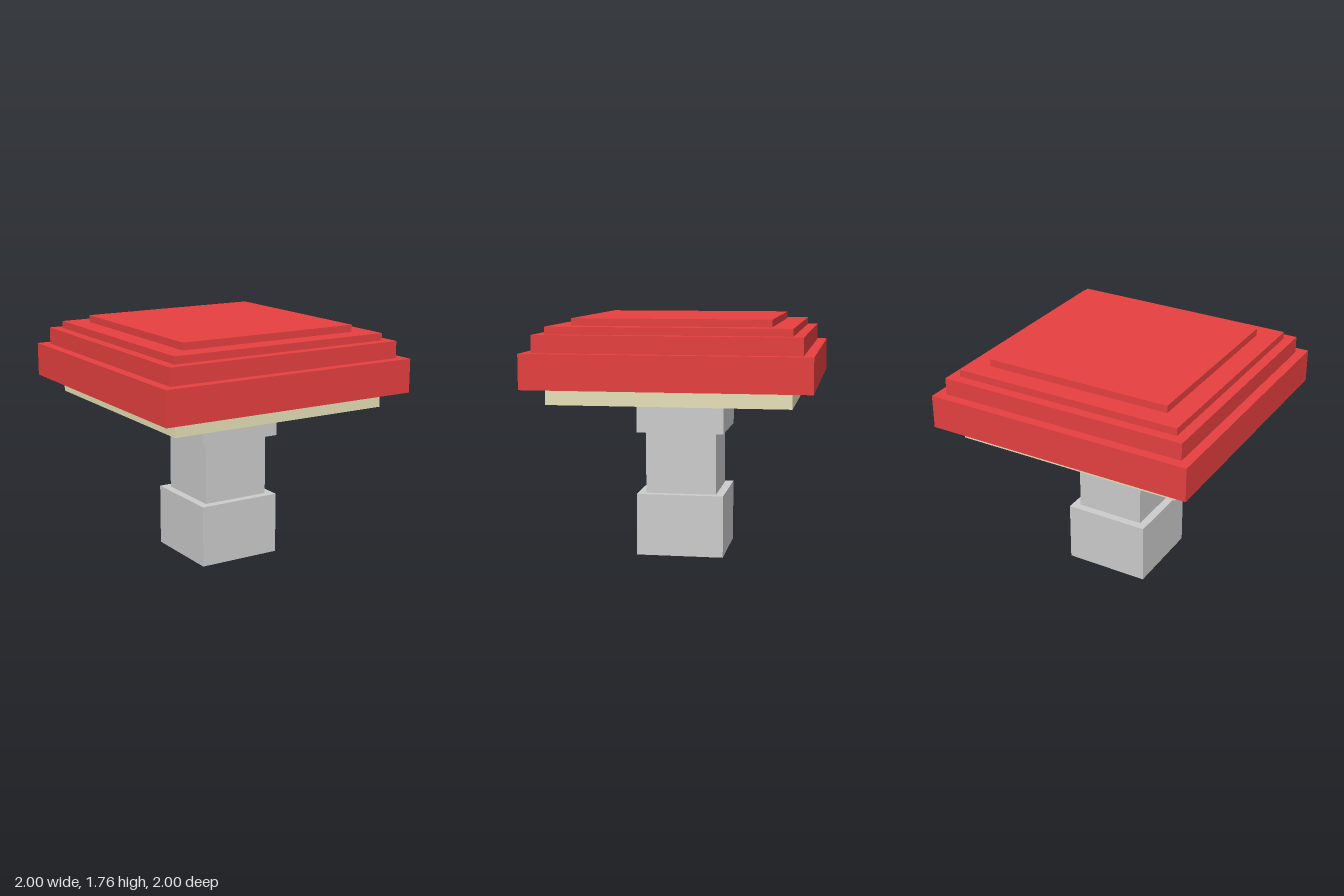
import * as THREE from 'three';

export function createModel() {
  const group = new THREE.Group();
  const grey = new THREE.MeshStandardMaterial({ color: 0xcccccc });
  const cream = new THREE.MeshStandardMaterial({ color: 0xe6e1b8 });
  const red = new THREE.MeshStandardMaterial({ color: 0xe63f3f });

  // Square tiers stacked from the ground up: name, width, top height, material
  const tiers = [
    ['stemBase', 0.64, 0.457, grey],
    ['stemShaft', 0.52, 0.914, grey],
    ['stemCollar', 0.64, 1.17, grey],
    ['capUnderside', 1.706, 1.286, cream],
    ['capRim', 2, 1.533, red],
    ['capLowerStep', 1.854, 1.657, red],
    ['capUpperStep', 1.706, 1.71, red],
    ['capTop', 1.4, 1.762, red],
  ];

  let bottom = 0;
  for (const [name, width, top, material] of tiers) {
    const height = top - bottom;
    const tier = new THREE.Mesh(new THREE.BoxGeometry(width, height, width), material);
    tier.name = name;
    tier.position.y = bottom + height / 2;
    group.add(tier);
    bottom = top;
  }
  return group;
}
